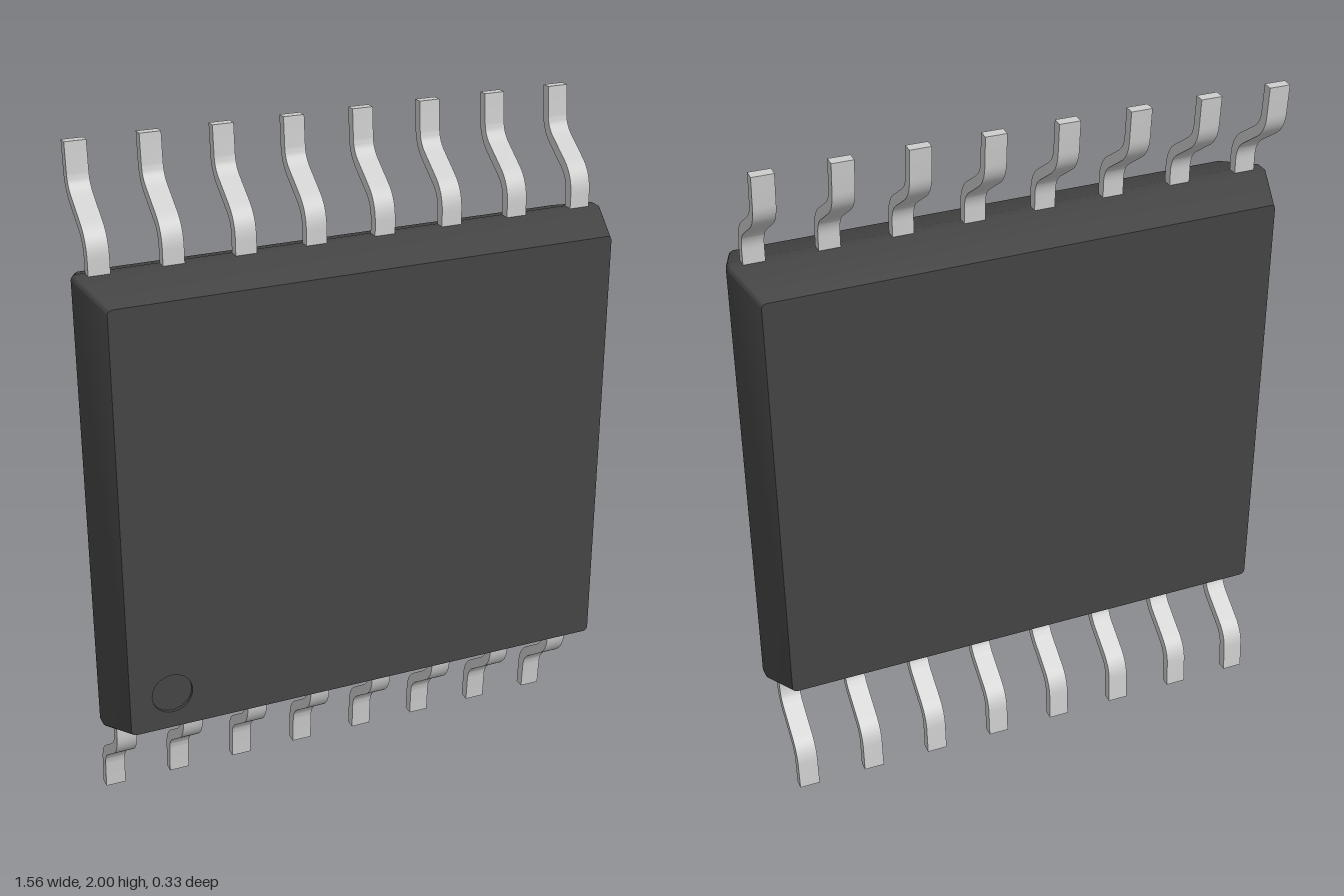
import * as THREE from 'three';
import { toCreasedNormals } from 'three/addons/utils/BufferGeometryUtils.js';

const bodyMat = new THREE.MeshStandardMaterial({ color: 0x444444 });
const legMat = new THREE.MeshStandardMaterial({ color: 0xcccccc });
const FRONT = 0.163, BACK = -0.148;
const DOT = { x: -0.61, y: -0.53, r: 0.06, depth: 0.01 };

function add(parent, name, geometry, material) {
  const mesh = new THREE.Mesh(geometry, material);
  mesh.name = name;
  parent.add(mesh);
  return mesh;
}

// Rectangle with small round corners, counter-clockwise
function roundedRect(w, h, r) {
  const s = new THREE.Shape();
  s.absarc(w - r, h - r, r, 0, Math.PI / 2);
  s.absarc(-w + r, h - r, r, Math.PI / 2, Math.PI);
  s.absarc(-w + r, -h + r, r, Math.PI, Math.PI * 1.5);
  s.absarc(w - r, -h + r, r, Math.PI * 1.5, Math.PI * 2);
  return s;
}

// Slanted side walls joining the rings from back to front
function loft(levels) {
  const rings = levels.map(([w, h, z]) =>
    roundedRect(w, h, 0.015).getPoints(4).map(p => new THREE.Vector3(p.x, p.y, z)));
  const n = rings[0].length, pts = [];
  for (let k = 0; k < rings.length - 1; k++) {
    for (let i = 0; i < n; i++) {
      const j = (i + 1) % n;
      const a = rings[k][i], b = rings[k][j], c = rings[k + 1][j], d = rings[k + 1][i];
      if (a.distanceTo(b) > 1e-6) pts.push(a, b, c, a, c, d);
    }
  }
  return toCreasedNormals(new THREE.BufferGeometry().setFromPoints(pts), 0.45);
}

// Gull-wing strip: a bent centre line thickened, then extruded across its width
function legGeometry(width, thickness) {
  const v = (z, y) => new THREE.Vector2(z, y);
  const path = new THREE.CurvePath();
  path.add(new THREE.LineCurve(v(0.006, 0.62), v(0.006, 0.725)));
  path.add(new THREE.QuadraticBezierCurve(v(0.006, 0.725), v(0.006, 0.775), v(-0.035, 0.803)));
  path.add(new THREE.LineCurve(v(-0.035, 0.803), v(-0.105, 0.852)));
  path.add(new THREE.QuadraticBezierCurve(v(-0.105, 0.852), v(-0.14, 0.877), v(-0.143, 0.915)));
  path.add(new THREE.LineCurve(v(-0.143, 0.915), v(-0.149, 1)));
  const pts = path.getPoints(8);
  const side = sign => pts.map((p, i) => {
    const t = pts[Math.min(i + 1, pts.length - 1)].clone().sub(pts[Math.max(i - 1, 0)]).normalize();
    return v(p.x - t.y * sign * thickness / 2, Math.min(1, p.y + t.x * sign * thickness / 2));
  });
  const shape = new THREE.Shape([...side(-1), ...side(1).reverse()]);
  const geo = new THREE.ExtrudeGeometry(shape, { depth: width, bevelEnabled: false });
  geo.translate(0, 0, -width / 2).rotateY(-Math.PI / 2);
  return toCreasedNormals(geo, 0.6);
}

export function createModel() {
  const model = new THREE.Group();
  model.name = 'chipPackage';

  // Moulded body, widest around its middle
  const body = new THREE.Group();
  body.name = 'body';
  add(body, 'bodySides', loft([
    [0.735, 0.64, BACK], [0.778, 0.684, -0.01], [0.778, 0.684, 0.02], [0.735, 0.64, FRONT],
  ]), bodyMat);
  const back = add(body, 'backFace', new THREE.ShapeGeometry(roundedRect(0.735, 0.64, 0.015), 4), bodyMat);
  back.rotation.y = Math.PI;
  back.position.z = BACK;

  // Front face with the shallow round orientation mark
  const face = roundedRect(0.735, 0.64, 0.015);
  face.holes.push(new THREE.Path().absarc(DOT.x, DOT.y, DOT.r, 0, Math.PI * 2, true));
  add(body, 'frontFace', new THREE.ShapeGeometry(face, 16), bodyMat).position.z = FRONT;
  const wallMat = bodyMat.clone();
  wallMat.side = THREE.DoubleSide;
  const wall = add(body, 'markWall',
    new THREE.CylinderGeometry(DOT.r, DOT.r, DOT.depth, 32, 1, true), wallMat);
  wall.rotation.x = Math.PI / 2;
  wall.position.set(DOT.x, DOT.y, FRONT - DOT.depth / 2);
  add(body, 'markFloor', new THREE.CircleGeometry(DOT.r, 32), bodyMat)
    .position.set(DOT.x, DOT.y, FRONT - DOT.depth);
  body.position.y = 1;
  model.add(body);

  // Eight legs on the upper edge, and the same row turned over for the lower edge
  const legGeo = legGeometry(0.06, 0.03);
  for (const [name, turn] of [['upperLegs', 0], ['lowerLegs', Math.PI]]) {
    const row = new THREE.Group();
    row.name = name;
    for (let i = 0; i < 8; i++) {
      add(row, 'leg', legGeo, legMat).position.x = (i - 3.5) * 0.2027;
    }
    row.rotation.z = turn;
    row.position.y = 1;
    model.add(row);
  }
  return model;
}
